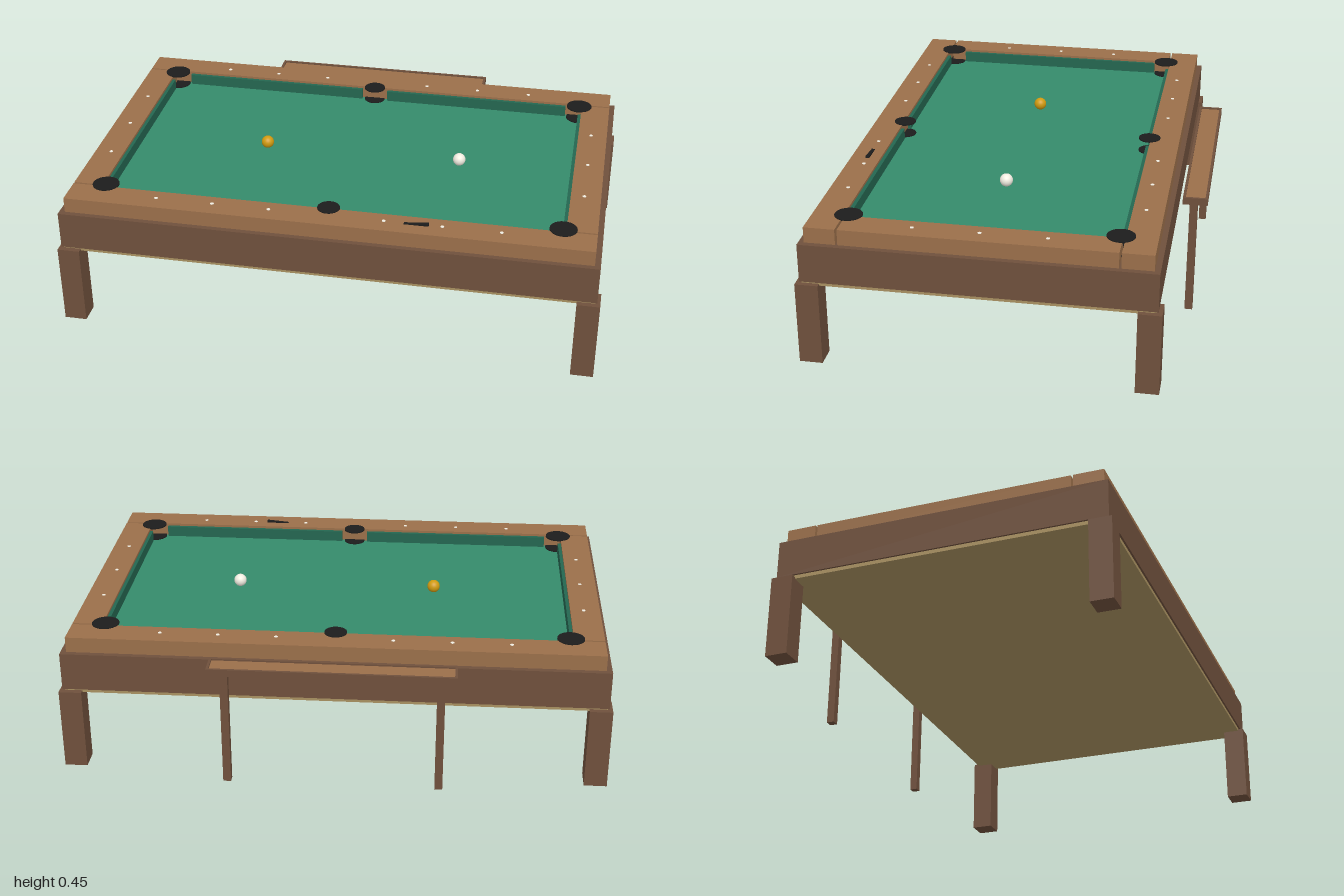
import * as THREE from 'three';

const mat = (color) => new THREE.MeshStandardMaterial({ color });

export function createModel() {
  const wood = mat(0x6f503c), railWood = mat(0x9a6f4a), cloth = mat(0x358a6b);
  const cushionCloth = mat(0x246650), black = mat(0x1c1c1c), slate = mat(0xa89060);
  const ivory = mat(0xf0ece0), amber = mat(0xd09a10);

  const root = new THREE.Group();
  root.name = 'poolTable';
  // the table is laid out along local x, then turned 45 degrees
  const table = new THREE.Group();
  table.name = 'table';
  table.rotation.y = -Math.PI / 4;
  root.add(table);

  const add = (name, geometry, material, x, y, z, parent = table) => {
    const mesh = new THREE.Mesh(geometry, material);
    mesh.name = name;
    mesh.position.set(x, y, z);
    parent.add(mesh);
    return mesh;
  };
  // box given by centre in plan, bottom and top heights
  const box = (name, material, x, z, w, d, y0, y1, parent = table) =>
    add(name, new THREE.BoxGeometry(w, y1 - y0, d), material, x, (y0 + y1) / 2, z, parent);

  // body, underside and playing bed
  box('body', wood, 0, 0, 1.712, 1.074, 0.272, 0.395);
  box('underside', slate, 0, 0, 1.70, 1.062, 0.26, 0.272);
  box('bed', cloth, 0, 0, 1.49, 0.85, 0.393, 0.401);

  for (const s of [-1, 1]) {
    // rails: long ones run through, end ones fit between them
    box('longRail', railWood, 0, s * 0.472, 1.676, 0.096, 0.395, 0.445);
    box('endRail', railWood, s * 0.79, 0, 0.096, 0.834, 0.395, 0.445);
    // cushions
    box('endCushion', cushionCloth, s * 0.737, 0, 0.012, 0.73, 0.4, 0.437);
    for (const t of [-1, 1]) {
      box('longCushion', cushionCloth, t * 0.365, s * 0.418, 0.64, 0.012, 0.4, 0.437);
      box('leg', wood, t * 0.83, s * 0.513, 0.072, 0.072, 0, 0.266);
    }
    // pockets: a disc on the rail and one on the bed
    for (const t of [-1, 0, 1]) {
      const r = t === 0 ? 0.036 : 0.043;
      const z = s * (t === 0 ? 0.42 : 0.41);
      for (const y of [0.402, 0.4455])
        add('pocket', new THREE.CylinderGeometry(r, r, 0.004, 24), black, t * 0.733, y, z);
    }
    // rail sights
    const dot = new THREE.CylinderGeometry(0.006, 0.006, 0.002, 10);
    for (const k of [-3, -2, -1, 1, 2, 3])
      add('railSight', dot, ivory, k * 0.183, 0.4455, s * 0.465);
    for (const k of [-1, 0, 1])
      add('railSight', dot, ivory, s * 0.785, 0.4455, k * 0.203);
  }

  // balls
  const ball = new THREE.SphereGeometry(0.021, 24, 16);
  add('cueBall', ball, ivory, 0.36, 0.422, 0);
  add('objectBall', ball, amber, -0.297, 0.422, 0);

  // dark sliver lying tilted in the rail
  const sliver = box('railInlay', black, 0.279, 0.466, 0.09, 0.012, 0.442, 0.448);
  sliver.rotation.z = 0.09;

  // side shelf: tray with a raised lip on two legs
  const shelf = new THREE.Group();
  shelf.name = 'sideShelf';
  shelf.position.set(-0.003, 0, -0.601);
  table.add(shelf);
  box('shelfBoard', railWood, 0, 0, 0.752, 0.066, 0.392, 0.41, shelf);
  for (const s of [-1, 1]) {
    box('shelfLongLip', wood, 0, s * 0.035, 0.764, 0.008, 0.392, 0.415, shelf);
    box('shelfEndLip', wood, s * 0.378, 0, 0.008, 0.062, 0.392, 0.415, shelf);
    box('shelfLeg', wood, s * 0.334, 0.006, 0.025, 0.025, 0, 0.392, shelf);
  }
  return root;
}
